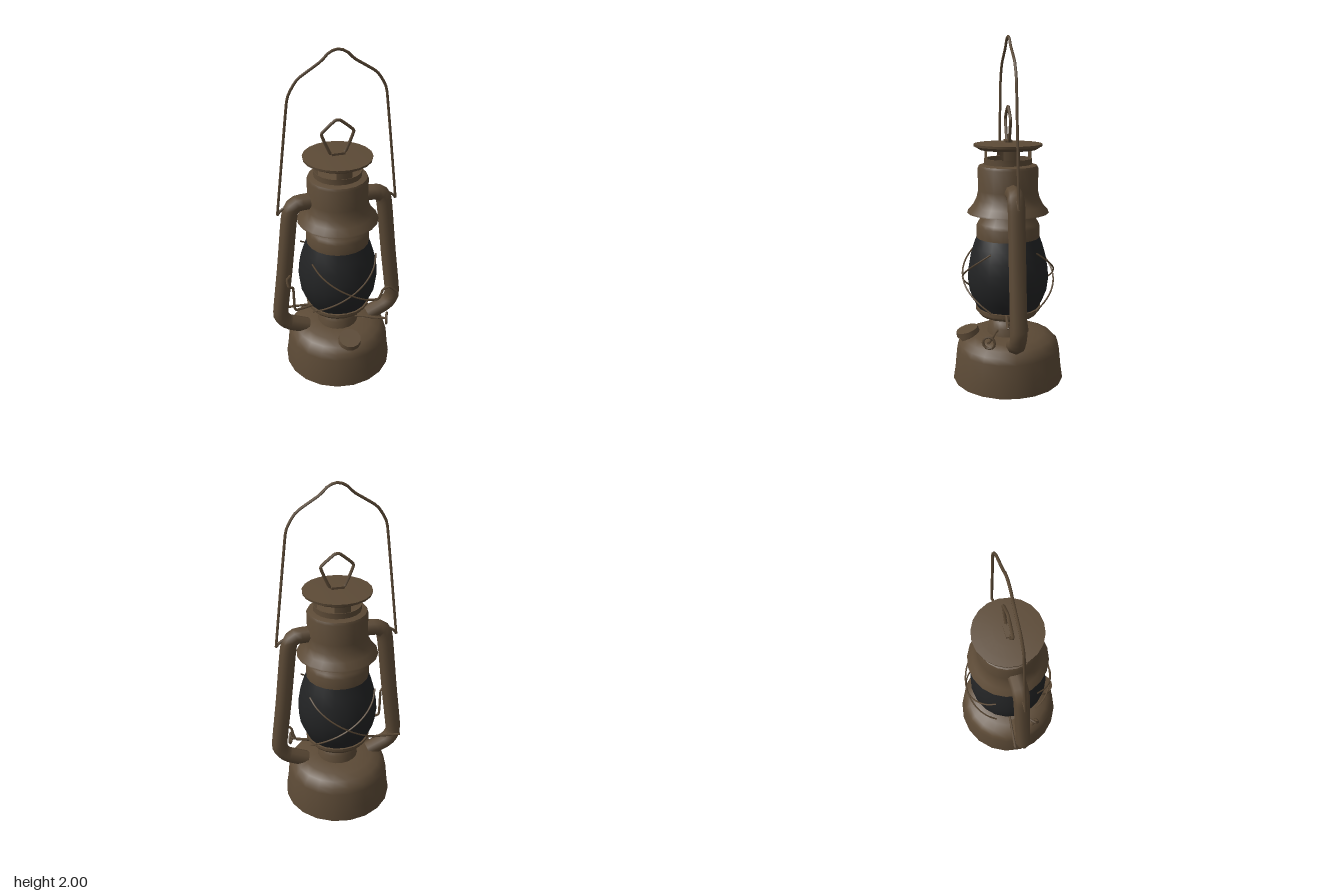
import * as THREE from 'three';
import { toCreasedNormals } from 'three/addons/utils/BufferGeometryUtils.js';

const SIDES = 20;

export function createModel() {
  const lantern = new THREE.Group();
  lantern.name = 'lantern';
  const metal = new THREE.MeshStandardMaterial({ color: 0x5c4a36, side: THREE.DoubleSide });
  metal.name = 'aged brown metal';
  const glass = new THREE.MeshStandardMaterial({ color: 0x222324, side: THREE.DoubleSide });
  glass.name = 'smoked glass';

  const add = (name, geometry, material = metal, parent = lantern) => {
    const mesh = new THREE.Mesh(geometry, material);
    mesh.name = name;
    parent.add(mesh);
    return mesh;
  };
  // Turned part from [radius, height] pairs listed bottom to top
  const turned = (name, profile, material) => {
    const points = profile.map(([r, y]) => new THREE.Vector2(r, y));
    return add(name, toCreasedNormals(new THREE.LatheGeometry(points, SIDES), 0.6), material);
  };
  // Rod bent along a list of [x, y, z] points
  const rod = (name, path, radius, { sides = 5, steps = 40, tension = 0.15, closed = false } = {}) => {
    const curve = new THREE.CatmullRomCurve3(
      path.map((p) => new THREE.Vector3(...p)), closed, 'catmullrom', tension);
    return add(name, new THREE.TubeGeometry(curve, steps, radius, sides, closed));
  };

  // Fuel tank and burner
  turned('fuelTank', [[0, 0], [0.328, 0], [0.328, 0.015], [0.318, 0.08], [0.307, 0.19],
    [0.295, 0.225], [0.265, 0.255], [0.215, 0.277], [0.13, 0.285], [0, 0.285]]);
  turned('burner', [[0.125, 0.28], [0.118, 0.33], [0.105, 0.36], [0.085, 0.39], [0.085, 0.41]]);
  turned('globeCollar', [[0.08, 0.395], [0.17, 0.4], [0.18, 0.415], [0.18, 0.425],
    [0.193, 0.43], [0.193, 0.445], [0.17, 0.447]]);

  // Glass globe
  turned('globe', [[0.18, 0.44], [0.205, 0.49], [0.228, 0.55], [0.237, 0.62], [0.234, 0.68],
    [0.222, 0.75], [0.205, 0.81], [0.183, 0.87]], glass);

  // Chimney, flared hood and cap
  turned('chimney', [[0.18, 0.858], [0.185, 0.86], [0.185, 0.93], [0.175, 0.95],
    [0.148, 0.99], [0.142, 1.02], [0.142, 1.2]]);
  turned('hood', [[0.237, 1.01], [0.234, 1.018], [0.205, 1.05], [0.185, 1.09], [0.173, 1.14],
    [0.175, 1.265], [0.168, 1.28], [0.138, 1.288], [0, 1.288]]);
  turned('galleryRing', [[0.137, 1.285], [0.137, 1.32], [0.127, 1.32], [0.127, 1.285]]);
  for (let i = 0; i < 4; i++) {
    // Curved posts leave four open vents
    const width = 0.7;
    add('galleryPost', new THREE.CylinderGeometry(0.133, 0.133, 0.07, 4, 1, true,
      i * Math.PI / 2 - width / 2, width)).position.y = 1.346;
  }
  turned('cap', [[0, 1.37], [0.165, 1.372], [0.18, 1.383], [0.195, 1.39], [0.197, 1.403],
    [0.15, 1.407], [0.08, 1.41], [0, 1.413]]);
  add('capBracket', new THREE.BoxGeometry(0.075, 0.018, 0.04)).position.y = 1.416;
  rod('capRing', [[-0.042, 1.42, 0], [-0.092, 1.54, 0], [-0.015, 1.608, 0], [0.015, 1.608, 0],
    [0.092, 1.54, 0], [0.042, 1.42, 0]], 0.009, { closed: true, steps: 60 });

  // Side tubes and carrying handle ends
  for (const s of [-1, 1]) {
    const side = s > 0 ? 'left' : 'right';
    rod(side + 'SideTube', [[0.15, 1.145], [0.235, 1.142], [0.272, 1.115], [0.288, 1.05],
      [0.325, 0.72], [0.362, 0.42], [0.355, 0.365], [0.32, 0.32], [0.2, 0.265]]
      .map(([x, y]) => [s * x, y, 0]), 0.048, { sides: 8, steps: 36, tension: 0.35 });
    rod(side + 'HandleHook', [[s * 0.354, 1.085, 0], [s * 0.335, 1.11, 0], [s * 0.27, 1.15, 0]],
      0.008, { steps: 8 });
  }
  const halfHandle = [[0.354, 1.085], [0.274, 1.75], [0.215, 1.855], [0.09, 1.935], [0.045, 1.98]];
  rod('carryingHandle', [
    ...halfHandle.map(([x, y]) => [-x, y, 0]), [0, 1.992, 0],
    ...halfHandle.slice().reverse().map(([x, y]) => [x, y, 0])], 0.008, { steps: 70 });

  // Crossed guard wires on the front and back of the globe
  for (const face of [1, -1]) {
    for (const slope of [1, -1]) {
      const path = [];
      for (let t = -1; t <= 1.001; t += 0.25) {
        const a = t * 0.98;
        const r = 0.268 - 0.035 * t * t;
        path.push([r * Math.sin(a) * slope, 0.635 + 0.17 * t, r * Math.cos(a) * face]);
      }
      rod('guardWire', path, 0.005, { steps: 24, tension: 0.5 });
    }
  }

  // Tilted filler cap
  const filler = new THREE.Group();
  filler.name = 'fillerCap';
  filler.position.set(0, 0.272, 0.237);
  filler.rotation.x = 0.28;
  lantern.add(filler);
  add('fillerNeck', new THREE.CylinderGeometry(0.05, 0.055, 0.07, 12), metal, filler).position.y = -0.015;
  add('fillerLid', new THREE.CylinderGeometry(0.066, 0.07, 0.03, 12), metal, filler).position.y = 0.022;

  // Wick shaft with its ring knob
  rod('wickShaft', [[0.08, 0.322, 0.07], [0.275, 0.322, 0.155]], 0.008, { steps: 2 });
  const knob = add('wickKnob', new THREE.TorusGeometry(0.034, 0.008, 5, 12));
  knob.position.set(0.27, 0.322, 0.152);
  knob.rotation.y = 1.16;

  // Globe lifting lever and side catch
  rod('liftLever', [[-0.39, 0.392, -0.06], [-0.1, 0.392, -0.03], [0.25, 0.392, 0.04],
    [0.28, 0.475, 0.055], [0.32, 0.487, 0.06], [0.37, 0.44, 0.062]], 0.008, { steps: 50 });
  rod('catchWire', [[-0.18, 0.46, 0.06], [-0.29, 0.465, 0.08], [-0.3, 0.63, 0.09],
    [-0.33, 0.655, 0.1], [-0.335, 0.69, 0.08], [-0.305, 0.695, 0.05]], 0.008, { steps: 40 });

  return lantern;
}
